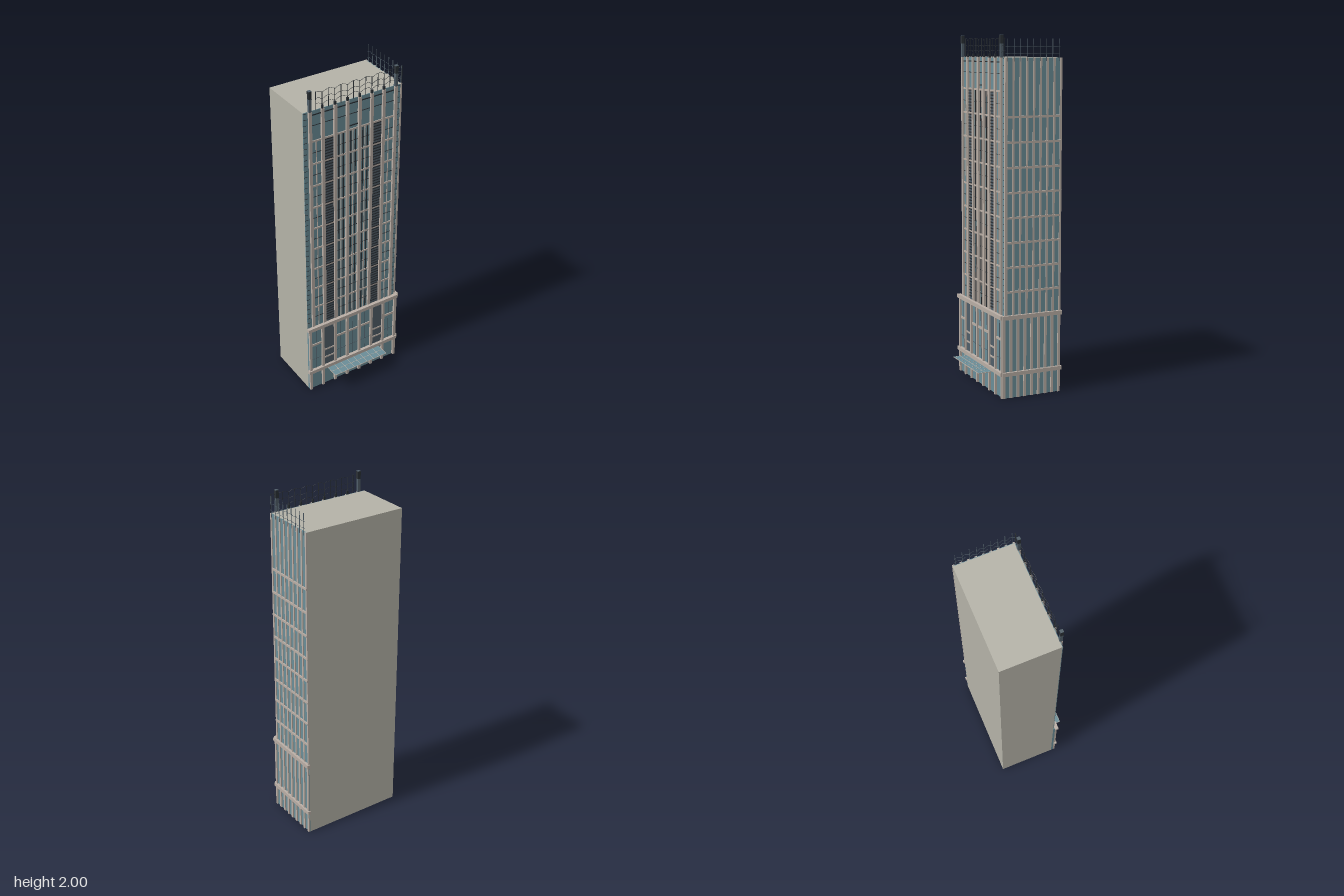
import * as THREE from 'three';

const mat = (name, color) => {
  const m = new THREE.MeshStandardMaterial({ color });
  m.name = name;
  return m;
};

export function createModel() {
  const wall = mat('wall grey', 0xb4b2a7);
  const trim = mat('stone trim', 0xb9aea5);
  const glass = mat('blue glass', 0x6a8d97);
  const dark = mat('dark panel', 0x505e68);
  const black = mat('black metal', 0x2a2f34);

  const model = new THREE.Group();
  model.name = 'tower';
  const group = (name) => {
    const g = new THREE.Group();
    g.name = name;
    model.add(g);
    return g;
  };
  // box given by its minimum and maximum on each axis
  const box = (parent, name, material, x0, x1, y0, y1, z0, z1) => {
    const m = new THREE.Mesh(new THREE.BoxGeometry(x1 - x0, y1 - y0, z1 - z0), material);
    m.position.set((x0 + x1) / 2, (y0 + y1) / 2, (z0 + z1) / 2);
    m.name = name;
    parent.add(m);
  };

  const ROOF = 1.88, POD = 0.46;
  const floors = Array.from({ length: 9 }, (_, i) => 0.602 + i * 0.1373);
  const cols = Array.from({ length: 8 }, (_, i) => -0.273 + i * 0.0765);
  const podCols = Array.from({ length: 8 }, (_, i) => -0.303 + i * 0.0855);

  // plain core
  box(model, 'core', wall, -0.311, 0.3, 0, ROOF, -0.222, 0.115);

  // tower front: glass, piers, floor bands
  const front = group('towerFront');
  box(front, 'frontGlass', glass, -0.311, 0.3, POD, ROOF, 0.115, 0.118);
  for (const x of cols) box(front, 'pier', trim, x - 0.009, x + 0.009, POD, ROOF, 0.115, 0.13);
  for (const y of floors) box(front, 'floorBand', trim, cols[0], cols[7], y - 0.005, y + 0.005, 0.115, 0.123);
  box(front, 'topBand', black, cols[0], cols[7], 1.853, 1.859, 0.115, 0.121);

  // bays between the piers: louvres in two, mullions and thin rails elsewhere
  for (let i = 0; i < 7; i++) {
    const x0 = cols[i] + 0.009, x1 = cols[i + 1] - 0.009;
    if (i === 1 || i === 5) {
      box(front, 'louvrePanel', dark, x0, x1, POD, 1.7, 0.117, 0.12);
      for (let y = 0.485; y < 1.69; y += 0.0172)
        box(front, 'louvreSlat', black, x0 + 0.003, x1 - 0.003, y, y + 0.006, 0.12, 0.124);
    } else {
      const n = i >= 2 && i <= 4 ? 3 : 1;
      for (let k = 1; k <= n; k++) {
        const x = x0 + (x1 - x0) * k / (n + 1);
        box(front, 'mullion', k === 2 || n === 1 ? trim : black, x - 0.0025, x + 0.0025, POD, 1.7, 0.117, 0.122);
      }
      for (const y of floors)
        box(front, 'windowRail', black, x0, x1, y - 0.07, y - 0.0675, 0.117, 0.1215);
    }
  }
  box(front, 'upperRail', black, cols[3], cols[4], 1.722, 1.728, 0.117, 0.122);
  box(front, 'upperRail', black, cols[0], cols[7], 1.793, 1.796, 0.117, 0.121);
  // short rails on the corner strips
  for (let y = 0.5; y < ROOF; y += 0.0343) {
    box(front, 'cornerRail', black, -0.311, -0.292, y, y + 0.002, 0.117, 0.12);
    box(front, 'cornerRail', black, 0.278, 0.292, y, y + 0.002, 0.117, 0.12);
  }
  box(front, 'cornerTrim', trim, 0.295, 0.304, POD, ROOF, 0.11, 0.12);

  // glazed right-hand side
  const side = group('glazedSide');
  box(side, 'sideGlass', glass, 0.3, 0.303, 0, ROOF, -0.222, 0.115);
  for (let i = 0; i < 9; i++) {
    const z = 0.111 - i * 0.041;
    box(side, 'sideMullion', trim, 0.3, 0.308, POD, ROOF, z - 0.006, z + 0.006);
  }
  for (const y of floors.slice(0, 8)) box(side, 'sideFloorBand', trim, 0.3, 0.31, y - 0.006, y + 0.006, -0.222, 0.116);
  for (let i = 0; i < 9; i++) {
    const z = 0.126 - i * 0.0425;
    box(side, 'sidePodiumPier', trim, 0.3, 0.31, 0, POD, z - 0.0075, z + 0.0075);
  }

  // podium
  const podium = group('podium');
  box(podium, 'podiumGlass', glass, -0.311, 0.303, 0, POD, 0.115, 0.128);
  for (const x of podCols) box(podium, 'podiumPier', trim, x - 0.008, x + 0.008, 0, POD, 0.125, 0.14);
  for (let i = 0; i < 7; i++) {
    const x0 = podCols[i] + 0.008, x1 = podCols[i + 1] - 0.008, mid = (x0 + x1) / 2;
    if (i === 1 || i === 5) {
      box(podium, 'darkPanel', dark, x0, x1, 0.15, 0.45, 0.127, 0.131);
      for (const y of [0.206, 0.265]) box(podium, 'panelBar', trim, x0, x1, y - 0.005, y + 0.005, 0.128, 0.134);
    } else {
      box(podium, 'transom', trim, x0, x1, 0.326, 0.34, 0.127, 0.133);
      box(podium, 'transom', dark, x0, x1, 0.222, 0.225, 0.127, 0.13);
      box(podium, 'podiumMullion', dark, mid - 0.0015, mid + 0.0015, 0.15, 0.45, 0.127, 0.13);
    }
  }
  for (const [y0, y1] of [[0.128, 0.15], [0.449, 0.472]]) {
    box(podium, 'frontCornice', trim, -0.319, 0.307, y0, y1, 0.127, 0.147);
    box(podium, 'sideCornice', trim, 0.3, 0.318, y0, y1, -0.229, 0.136);
  }

  // glass canopy
  const canopy = group('canopy');
  box(canopy, 'canopyGlass', glass, -0.19, 0.178, 0.122, 0.124, 0.13, 0.226);
  for (let i = 0; i < 9; i++) {
    const x = -0.189 + i * 0.04575;
    box(canopy, 'canopyRib', trim, x - 0.0012, x + 0.0012, 0.1215, 0.1248, 0.13, 0.226);
  }
  for (const z of [0.184, 0.225]) box(canopy, 'canopyBar', trim, -0.19, 0.178, 0.1215, 0.1248, z - 0.0012, z + 0.0012);

  // roof posts and pier caps
  const roof = group('roofPosts');
  for (const x of [cols[0], cols[7]]) {
    box(roof, 'cornerPost', dark, x - 0.008, x + 0.008, ROOF, 1.955, 0.114, 0.13);
    box(roof, 'cornerPostCap', black, x - 0.009, x + 0.009, 1.955, 1.998, 0.113, 0.131);
    box(roof, 'cornerPostTop', dark, x - 0.009, x + 0.009, 1.998, 2, 0.113, 0.131);
  }
  for (const x of cols.slice(1, 7)) box(roof, 'pierCap', black, x - 0.005, x + 0.005, ROOF, 1.9, 0.117, 0.127);

  // cable railings zigzagging along the front and the right side
  const railing = group('railing');
  const cable = (material, points) => {
    const path = new THREE.CatmullRomCurve3(points, false, 'catmullrom', 0);
    const m = new THREE.Mesh(new THREE.TubeGeometry(path, 56, 0.001, 4), material);
    m.name = 'cable';
    railing.add(m);
  };
  for (let i = 0; i <= 14; i++) {
    const x = -0.235 + i * 0.0383;
    box(railing, 'frontPost', black, x - 0.0012, x + 0.0012, ROOF, i % 2 ? 1.975 : 1.985, 0.119, 0.122);
  }
  for (let i = 0; i <= 8; i++) {
    const z = 0.105 - i * 0.0385;
    box(railing, 'sidePost', dark, 0.306, 0.309, 1.86, 1.98, z - 0.0012, z + 0.0012);
  }
  for (const y of [1.915, 1.945, 1.982]) {
    cable(black, Array.from({ length: 29 }, (_, i) => new THREE.Vector3(
      -0.235 + i * 0.0192, y + (i % 4 === 2 ? -0.01 : 0), 0.12 + (i % 4 < 2 ? -0.003 : 0.003))));
  }
  for (const y of [1.9, 1.937]) {
    cable(dark, Array.from({ length: 17 }, (_, i) => new THREE.Vector3(
      0.308 + (i % 2 ? 0.005 : -0.004), y, 0.118 - i * 0.0205)));
  }
  return model;
}
